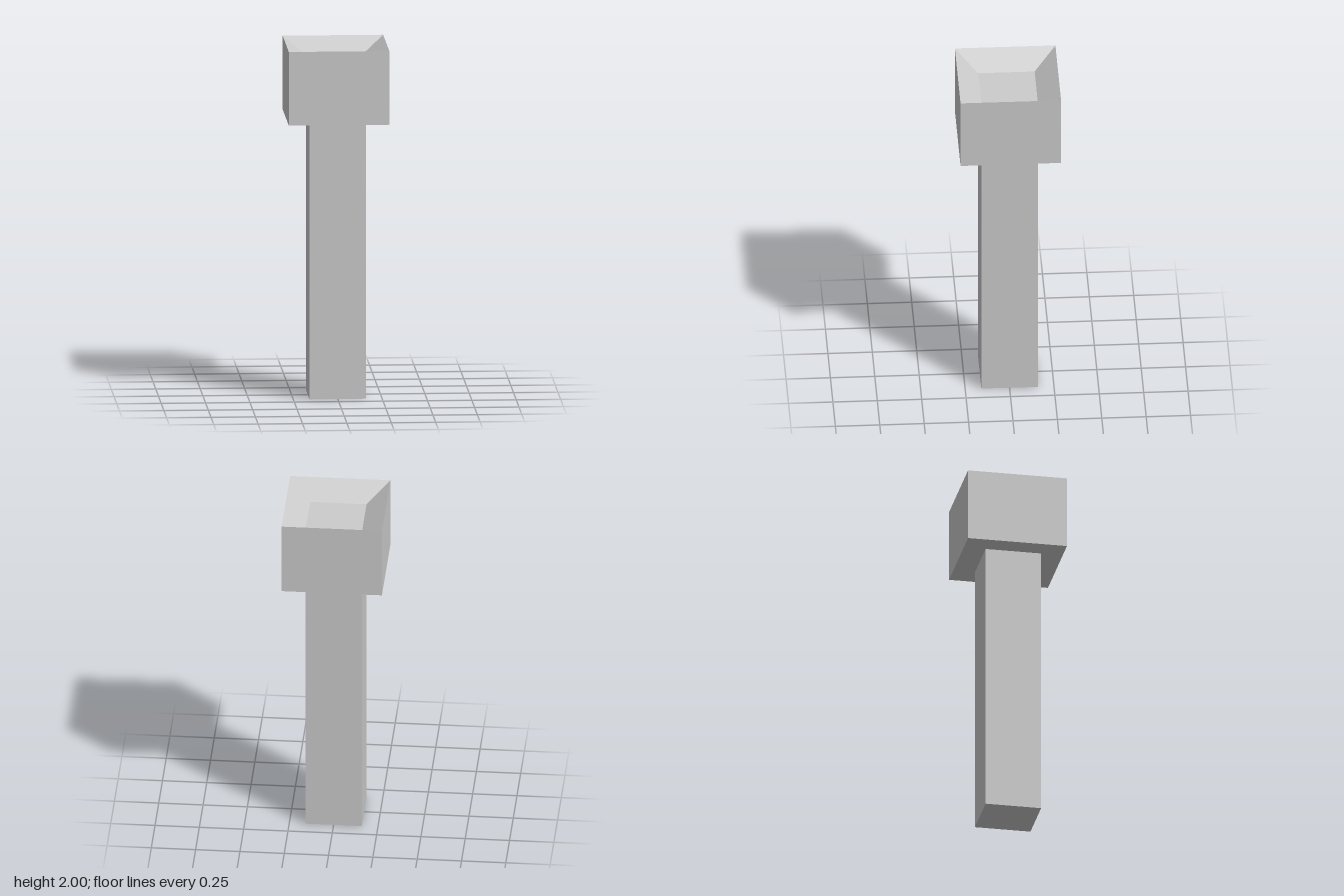
import * as THREE from 'three';

const material = new THREE.MeshStandardMaterial({ color: 0xcccccc, flatShading: true });

// Square solid from a profile of [half width, height] points, listed bottom to top
function squareLathe(name, profile) {
  const points = profile.map(([half, y]) => new THREE.Vector2(half * Math.SQRT2, y));
  const mesh = new THREE.Mesh(new THREE.LatheGeometry(points, 4, Math.PI / 4), material);
  mesh.name = name;
  return mesh;
}

export function createModel() {
  const group = new THREE.Group();
  group.name = 'squarePost';

  const shaftHalf = 0.159, headHalf = 0.283;
  const headBottom = 1.58, top = 2, basinFloor = 1.91;

  // Shaft with a closed foot
  group.add(squareLathe('shaft', [[0, 0], [shaftHalf, 0], [shaftHalf, headBottom]]));

  // Wider head with a sharp rim and a sloped basin on top
  group.add(squareLathe('head', [
    [shaftHalf, headBottom], [headHalf, headBottom], [headHalf, top],
    [shaftHalf, basinFloor], [0, basinFloor],
  ]));

  return group;
}
